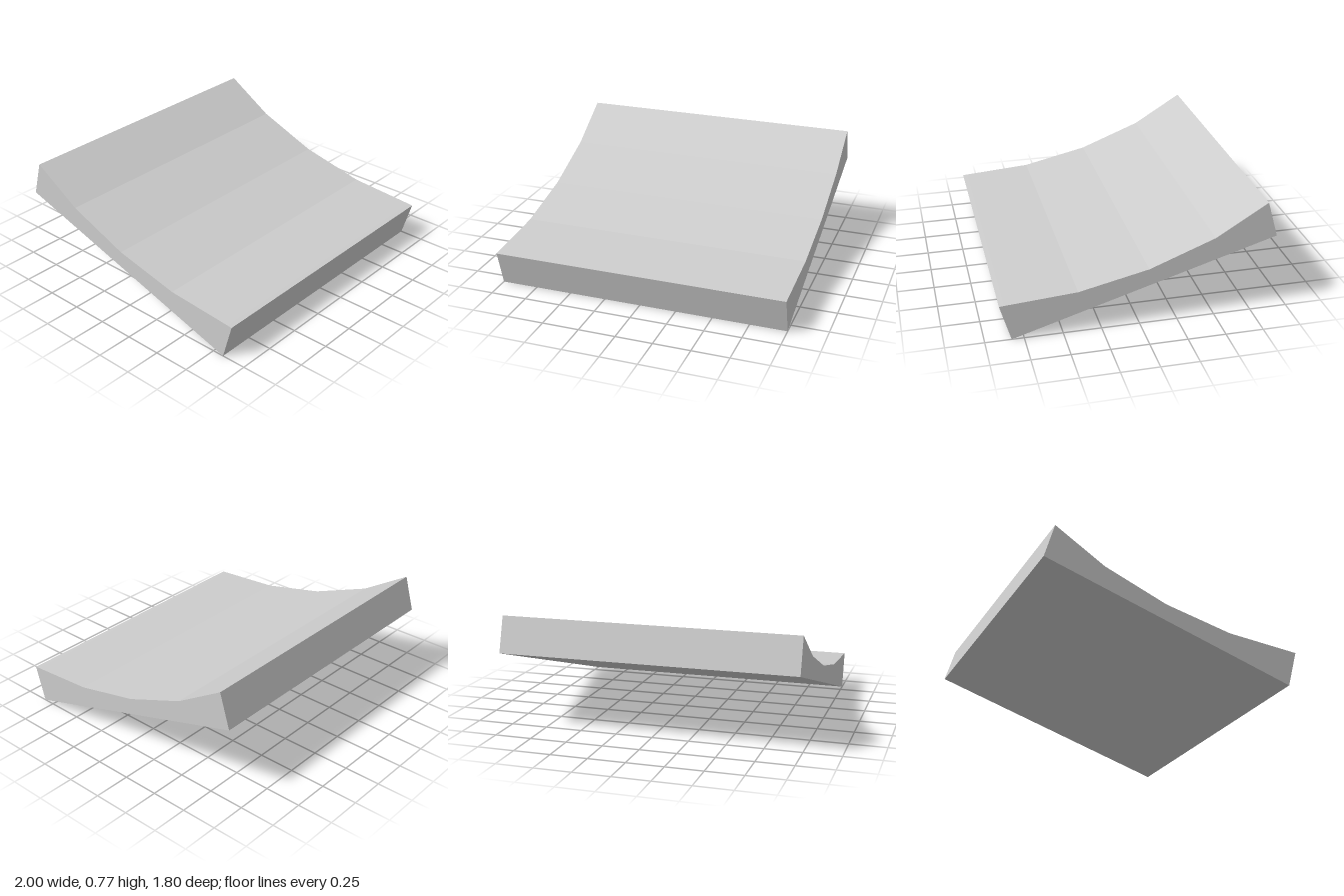
import * as THREE from 'three';

export function createModel() {
  const group = new THREE.Group();
  group.name = 'curvedRamp';

  const lightGrey = new THREE.MeshStandardMaterial({ color: 0xcccccc });
  lightGrey.name = 'light grey';

  // Side profile as (z, y): flat tilted underside, faceted hollow top
  const profile = [
    [0.83, 0], [0.9, 0.247], [0.87, 0.25], [0.4, 0.285],
    [-0.06, 0.39], [-0.49, 0.56], [-0.83, 0.77], [-0.9, 0.53],
  ].map(([z, y]) => new THREE.Vector2(z, y));

  // Sweep the profile across the full width
  const geometry = new THREE.ExtrudeGeometry(new THREE.Shape(profile), { depth: 2, bevelEnabled: false });
  geometry.translate(0, 0, -1);
  geometry.rotateY(-Math.PI / 2);

  const slab = new THREE.Mesh(geometry, lightGrey);
  slab.name = 'rampSlab';
  group.add(slab);
  return group;
}
